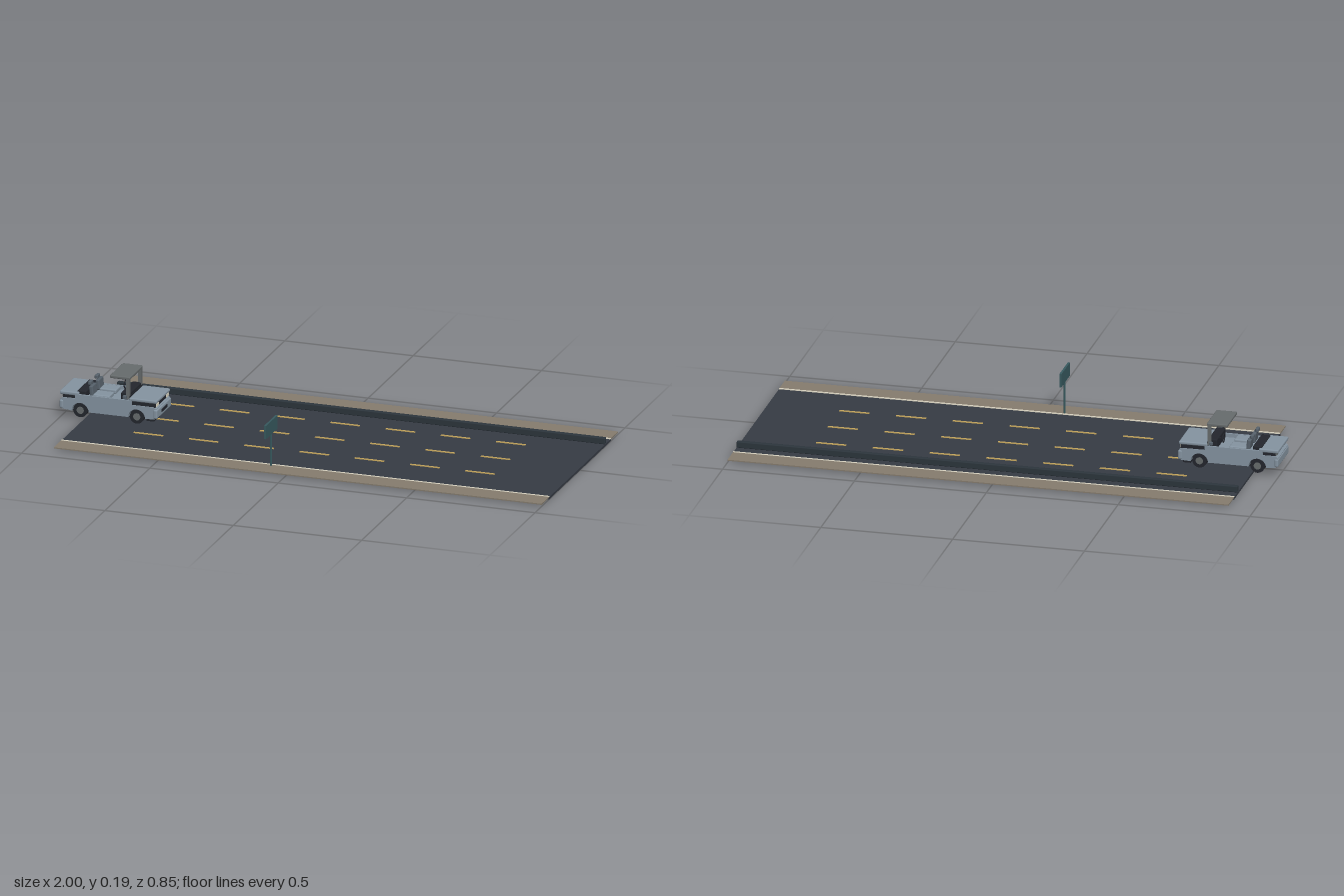
import * as THREE from 'three';
import { RoundedBoxGeometry } from 'three/addons/geometries/RoundedBoxGeometry.js';

const material = (name, color) => {
  const m = new THREE.MeshStandardMaterial({ color });
  m.name = name;
  return m;
};

export function createModel() {
  const asphalt = material('asphalt', 0x363b44);
  const gravel = material('gravel', 0x857c6e);
  const yellow = material('lane yellow', 0xc4a55c);
  const cream = material('cream', 0xd9d3c0);
  const teal = material('sign teal', 0x37595e);
  const steel = material('barrier steel', 0x2c353c);
  const paint = material('body paint', 0x8493a0);
  const roofGrey = material('roof grey', 0x666b6c);
  const dark = material('dark trim', 0x23262d);
  const seatGrey = material('seat grey', 0x56616b);

  const model = new THREE.Group();
  model.name = 'roadScene';

  const add = (parent, name, geometry, mat) => {
    const mesh = new THREE.Mesh(geometry, mat);
    mesh.name = name;
    parent.add(mesh);
    return mesh;
  };
  // Box from its limits, optionally with rounded edges
  const box = (parent, name, mat, [x0, x1], [y0, y1], [z0, z1], r = 0) => {
    const s = [x1 - x0, y1 - y0, z1 - z0];
    const g = r ? new RoundedBoxGeometry(...s, 2, r) : new THREE.BoxGeometry(...s);
    const mesh = add(parent, name, g, mat);
    mesh.position.set((x0 + x1) / 2, (y0 + y1) / 2, (z0 + z1) / 2);
    return mesh;
  };
  // The same box on both sides of the centre line
  const pair = (parent, name, mat, x, y, [z0, z1], r = 0) => {
    box(parent, name, mat, x, y, [z0, z1], r);
    box(parent, name, mat, x, y, [-z1, -z0], r);
  };

  // Road, shoulders and edge lines
  const road = new THREE.Group();
  road.name = 'road';
  model.add(road);
  const length = [-0.9, 1];
  box(road, 'roadBed', asphalt, length, [0, 0.009], [-0.345, 0.345]);
  pair(road, 'shoulder', gravel, length, [0.006, 0.0105], [0.345, 0.426]);
  pair(road, 'edgeLine', cream, length, [0.009, 0.0115], [0.337, 0.345]);

  // Three rows of lane dashes
  for (const z of [-0.172, 0, 0.172]) {
    for (let i = 0; i < 7; i++) {
      const x = -0.62 + i * 0.2152;
      box(road, 'laneDash', yellow, [x - 0.057, x + 0.057], [0.009, 0.012], [z - 0.004, z + 0.004]);
    }
  }

  box(road, 'barrier', steel, length, [0.009, 0.033], [-0.294, -0.275], 0.003);

  // Roadside sign
  const sign = new THREE.Group();
  sign.name = 'sign';
  model.add(sign);
  const post = add(sign, 'signPost', new THREE.CylinderGeometry(0.004, 0.004, 0.13, 10), teal);
  post.position.set(-0.08, 0.073, 0.353);
  box(sign, 'signBoard', teal, [-0.084, -0.076], [0.134, 0.186], [0.289, 0.417]);

  // Open car facing +x
  const car = new THREE.Group();
  car.name = 'car';
  model.add(car);

  // Lower body: side outline with wheel arches, extruded across the width
  const axles = [-0.92, -0.7];
  const outline = new THREE.Shape();
  outline.moveTo(-0.99, 0.036);
  for (const x of axles) {
    outline.lineTo(x - 0.033, 0.032);
    outline.absarc(x, 0.032, 0.033, Math.PI, 0, true);
  }
  outline.lineTo(-0.63, 0.034);
  outline.lineTo(-0.622, 0.042);
  outline.lineTo(-0.624, 0.074);
  outline.lineTo(-0.636, 0.08);
  outline.lineTo(-0.99, 0.08);
  outline.lineTo(-0.998, 0.072);
  outline.closePath();
  const bodyGeometry = new THREE.ExtrudeGeometry(outline, { depth: 0.152, bevelEnabled: false, curveSegments: 10 });
  add(car, 'lowerBody', bodyGeometry.translate(0, 0, -0.076), paint);
  box(car, 'underbody', dark, [-0.965, -0.645], [0.024, 0.045], [-0.05, 0.05]);
  box(car, 'frontSkirt', dark, [-0.665, -0.636], [0.021, 0.036], [-0.064, 0.064]);

  // Wheels
  for (const x of axles) {
    for (const side of [-1, 1]) {
      const tyre = add(car, 'tyre', new THREE.CylinderGeometry(0.027, 0.027, 0.02, 20), dark);
      const hub = add(car, 'hub', new THREE.CylinderGeometry(0.014, 0.014, 0.022, 14), roofGrey);
      for (const part of [tyre, hub]) {
        part.rotation.x = Math.PI / 2;
        part.position.set(x, 0.036, side * 0.064);
      }
    }
  }

  // Bumpers and plates
  box(car, 'frontBumper', paint, [-0.635, -0.619], [0.036, 0.072], [-0.08, 0.08], 0.006);
  box(car, 'rearBumper', paint, [-1, -0.985], [0.038, 0.07], [-0.08, 0.08], 0.006);
  box(car, 'frontPlate', dark, [-0.621, -0.617], [0.05, 0.061], [-0.032, 0.032]);

  // Nose: grille, headlights and hood slab
  box(car, 'noseCore', dark, [-0.735, -0.628], [0.078, 0.096], [-0.072, 0.072]);
  pair(car, 'headlight', cream, [-0.63, -0.624], [0.081, 0.093], [0.043, 0.068]);
  box(car, 'hood', paint, [-0.73, -0.622], [0.094, 0.107], [-0.077, 0.077], 0.005);

  // Tail: dark core, lamps and rear deck
  box(car, 'tailCore', dark, [-0.988, -0.93], [0.078, 0.096], [-0.072, 0.072]);
  pair(car, 'tailLamp', roofGrey, [-0.992, -0.986], [0.081, 0.092], [0.045, 0.068]);
  box(car, 'rearDeck', paint, [-1, -0.925], [0.091, 0.105], [-0.077, 0.077], 0.005);

  // Cabin tub
  pair(car, 'doorSill', paint, [-0.94, -0.72], [0.078, 0.097], [0.069, 0.077]);
  box(car, 'cabinFloor', paint, [-0.93, -0.73], [0.079, 0.083], [-0.07, 0.07]);
  box(car, 'dashboard', dark, [-0.765, -0.73], [0.083, 0.122], [-0.066, 0.066], 0.005);
  box(car, 'rearBench', dark, [-0.935, -0.9], [0.083, 0.11], [-0.066, 0.066], 0.005);

  // Seats with headrests
  for (const side of [-1, 1]) {
    const z = side * 0.037;
    const across = (w) => [z - w / 2, z + w / 2];
    box(car, 'seatCushion', paint, [-0.875, -0.81], [0.083, 0.1], across(0.054), 0.005);
    const back = box(car, 'seatBack', seatGrey, [-0.89, -0.875], [0.09, 0.13], across(0.05), 0.005);
    back.rotation.z = 0.12;
    box(car, 'headrest', seatGrey, [-0.899, -0.886], [0.129, 0.144], across(0.028), 0.004);
  }

  // Steering wheel on the driver's side
  const wheel = add(car, 'steeringWheel', new THREE.TorusGeometry(0.015, 0.0022, 8, 20), dark);
  wheel.rotation.y = Math.PI / 2;
  wheel.position.set(-0.782, 0.118, -0.035);
  box(car, 'steeringColumn', dark, [-0.783, -0.762], [0.116, 0.12], [-0.037, -0.033]);

  // Roof panel on windscreen pillars
  box(car, 'roof', roofGrey, [-0.806, -0.727], [0.174, 0.186], [-0.073, 0.073], 0.004);
  pair(car, 'windscreenPillar', roofGrey, [-0.743, -0.73], [0.1, 0.178], [0.06, 0.073]);
  box(car, 'windscreenBase', dark, [-0.745, -0.728], [0.1, 0.112], [-0.07, 0.07]);

  // Side mirrors
  pair(car, 'mirror', seatGrey, [-0.752, -0.738], [0.102, 0.116], [0.074, 0.085], 0.003);

  return model;
}
